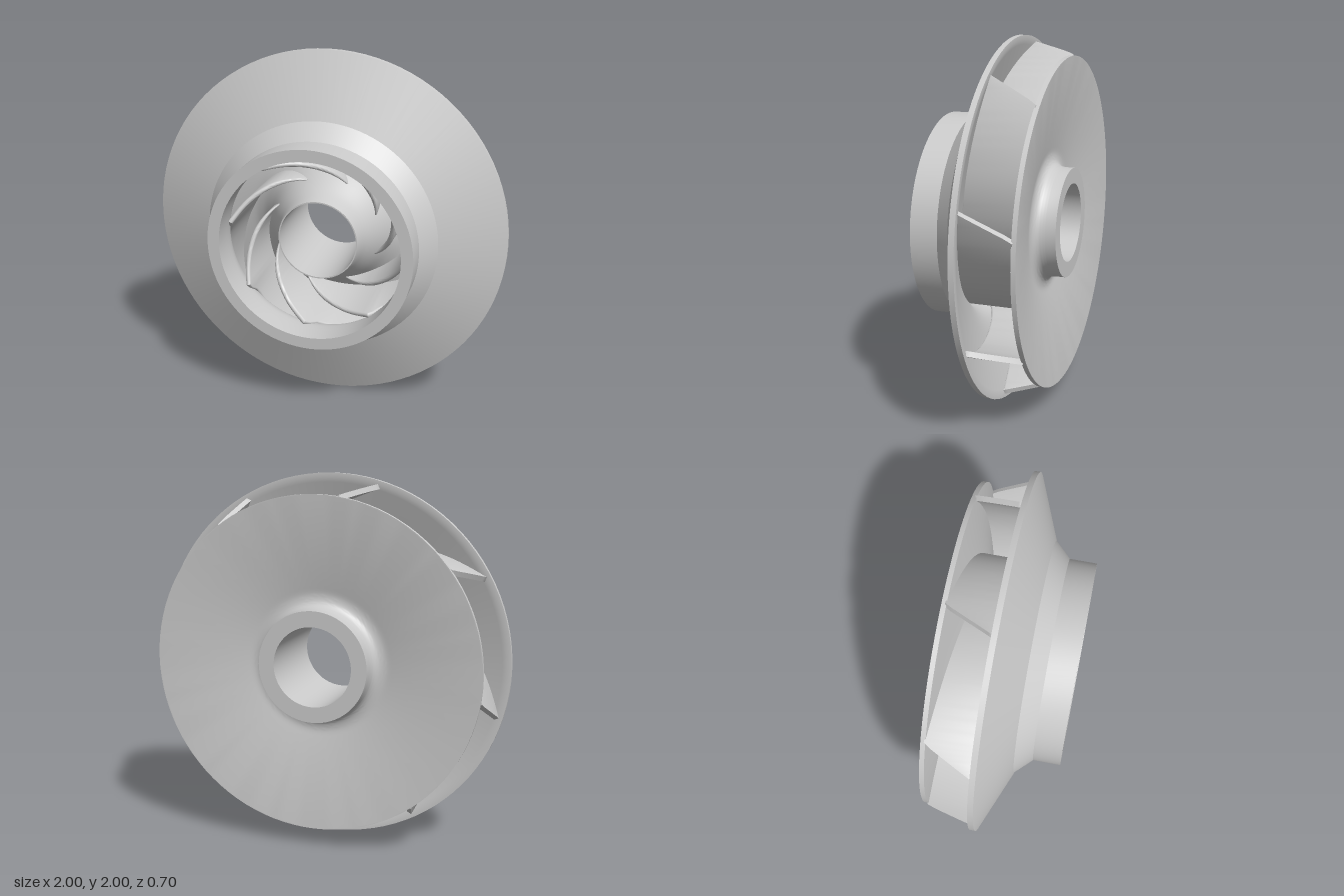
import * as THREE from 'three';
import { toCreasedNormals } from 'three/addons/utils/BufferGeometryUtils.js';

const BLADES = 8;
const V = (p) => new THREE.Vector2(p[0], p[1]);
const smooth = (pts, n) => new THREE.SplineCurve(pts.map(V)).getPoints(n);

// Flow surfaces as [radius, z]: hub side (outward) and shroud side (outward)
const hubFlow = smooth([[0.222, 0.17], [0.25, 0.08], [0.305, -0.02], [0.37, -0.125], [0.45, -0.2],
  [0.57, -0.245], [0.9, -0.31]], 40);
const shroudFlow = smooth([[0.5, 0.23], [0.508, 0.16], [0.54, 0.095], [0.61, 0.05], [0.75, 0.005], [0.975, -0.065]], 32);

// Blade spiral as [radius, angle in degrees]
const spiral = smooth([[0.3, 22], [0.34, 34], [0.38, 46.5], [0.43, 63], [0.5, 84], [0.6, 104],
  [0.7, 119.5], [0.8, 133], [0.9, 144.6], [0.97, 151.5]], 60);

// Linear lookup of y at x along an increasing curve
function lookup(curve, x) {
  let i = 1;
  while (i < curve.length - 1 && curve[i].x < x) i++;
  const a = curve[i - 1], b = curve[i];
  return THREE.MathUtils.lerp(a.y, b.y, THREE.MathUtils.clamp((x - a.x) / (b.x - a.x), 0, 1));
}

// Revolve a closed counter-clockwise [radius, z] profile about the z axis
function revolve(name, profile, material) {
  const geo = new THREE.LatheGeometry([...profile, profile[0].clone()], 96).rotateX(Math.PI / 2);
  const mesh = new THREE.Mesh(toCreasedNormals(geo, 0.35), material);
  mesh.name = name;
  return mesh;
}

// Spiral vane: cross-sections between hub and shroud, with a rounded leading edge
function bladeGeometry() {
  const pos = [], index = [], arc = 6, ring = arc + 3;
  const at = (p) => new THREE.Vector2(Math.cos(p.y * Math.PI / 180), Math.sin(p.y * Math.PI / 180)).multiplyScalar(p.x);
  spiral.forEach((p, i) => {
    const r = p.x, c = at(p);
    const dir = at(spiral[Math.min(i + 1, spiral.length - 1)]).sub(at(spiral[Math.max(i - 1, 0)])).normalize();
    const half = 0.014 * Math.min(1, 0.3 + (r - 0.3) * 9);
    // Bottom follows the hub, then the slanted trailing edge
    const low = r < 0.9 ? lookup(hubFlow, r) - 0.008 : -0.31 + (r - 0.9) / 0.07 * 0.25;
    // Top follows the leading edge, then the shroud
    const high = r < 0.5 ? -0.01 + (r - 0.3) / 0.2 * 0.23 : lookup(shroudFlow, r) + 0.008;
    const top = Math.max(high, low + 0.002);
    const cap = Math.min(half, (top - low) / 2);
    const put = (s, z) => pos.push(c.x - dir.y * s * half, c.y + dir.x * s * half, z);
    put(1, low);
    put(-1, low);
    for (let k = 0; k <= arc; k++) {
      const a = Math.PI * k / arc;
      put(-Math.cos(a), top - cap + cap * Math.sin(a));
    }
  });
  for (let i = 0; i < spiral.length - 1; i++) {
    for (let k = 0; k < ring; k++) {
      const a = i * ring + k, b = i * ring + (k + 1) % ring;
      index.push(a, a + ring, b, b, a + ring, b + ring);
    }
  }
  const last = (spiral.length - 1) * ring;
  for (let k = 1; k < ring - 1; k++) {
    index.push(0, k, k + 1, last, last + k + 1, last + k);
  }
  const geo = new THREE.BufferGeometry();
  geo.setAttribute('position', new THREE.Float32BufferAttribute(pos, 3));
  geo.setIndex(index);
  return toCreasedNormals(geo, 0.7);
}

export function createModel() {
  const model = new THREE.Group();
  model.name = 'impeller';
  const wheel = new THREE.Group();
  wheel.name = 'wheel';
  wheel.position.y = 1;
  model.add(wheel);
  const material = new THREE.MeshStandardMaterial({ color: 0xcccccc, side: THREE.DoubleSide });

  // Front shroud with inlet collar
  const shroudOuter = [[1, -0.065], [1, -0.035], [0.65, 0.11], [0.565, 0.2], [0.565, 0.35], [0.5, 0.35]].map(V);
  wheel.add(revolve('frontShroud', [...shroudOuter, ...shroudFlow], material));

  // Back plate with bored hub and a filleted recess behind
  const fillet = smooth([[0.3, -0.3], [0.308, -0.265], [0.33, -0.242], [0.37, -0.234], [0.42, -0.242]], 20);
  const back = [[0.215, 0.17], [0.215, -0.355], [0.3, -0.355]].map(V);
  const rim = [[0.893, -0.335], [0.9, -0.335]].map(V);
  wheel.add(revolve('backPlateAndHub', [...back, ...fillet, ...rim, ...hubFlow.slice().reverse()], material));

  // Spiral blades
  const blade = bladeGeometry();
  for (let i = 0; i < BLADES; i++) {
    const mesh = new THREE.Mesh(blade, material);
    mesh.name = 'blade' + (i + 1);
    mesh.rotation.z = i * Math.PI * 2 / BLADES;
    wheel.add(mesh);
  }
  return model;
}
